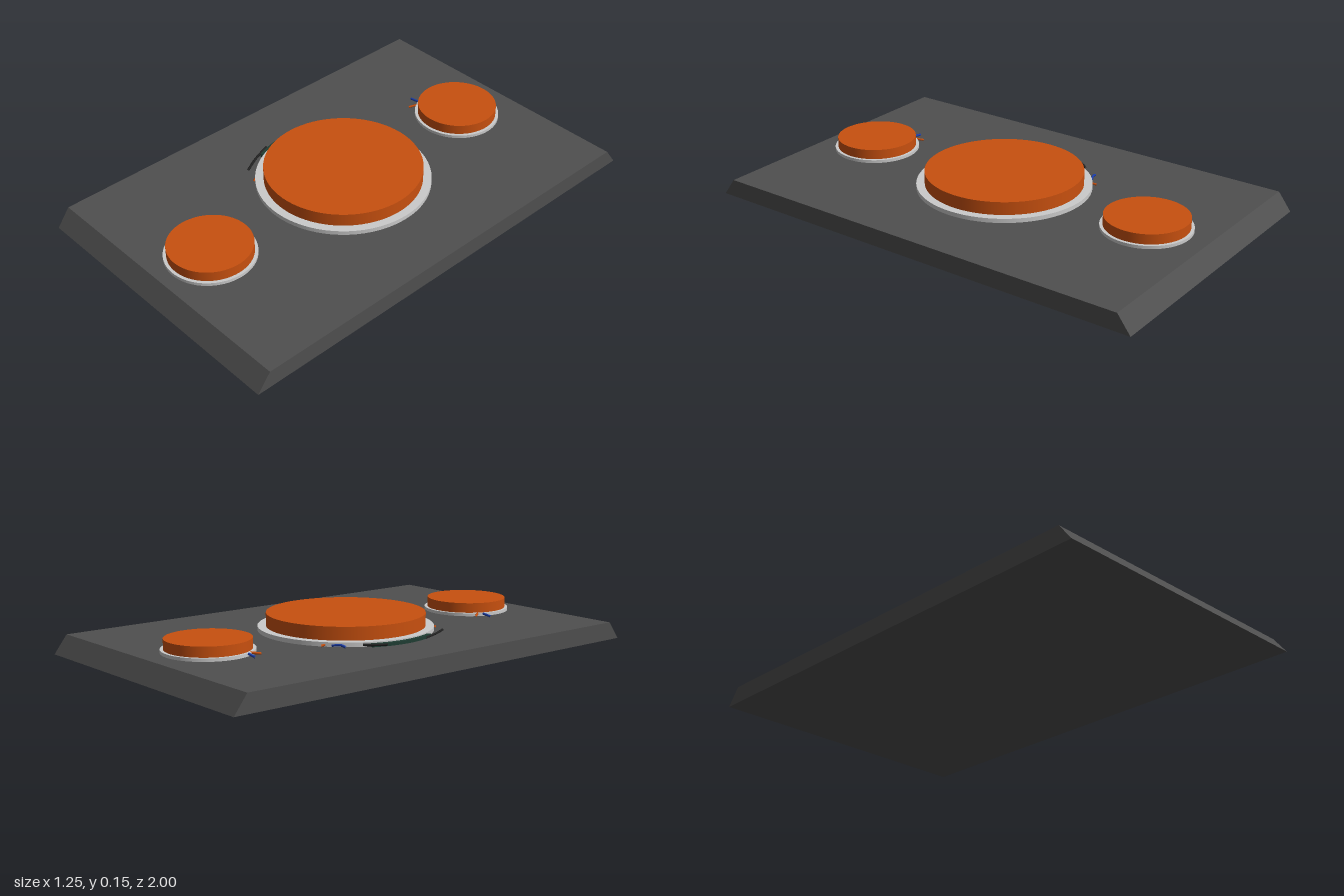
import * as THREE from 'three';

const paint = (color) => new THREE.MeshStandardMaterial({ color });
const GREY = paint(0xcccccc), SLATE = paint(0x4f4f4f), ORANGE = paint(0xc8500f);
const GREEN = paint(0x1f3d33), BLUE = paint(0x1c3fae), BLACK = paint(0x222222);

const TOP = 0.075; // upper face of the plate
const CX = -0.008; // shared x centre of the discs

export function createModel() {
  const model = new THREE.Group();

  function add(name, geometry, material, parent = model) {
    const mesh = new THREE.Mesh(geometry, material);
    mesh.name = name;
    parent.add(mesh);
    return mesh;
  }

  // Base plate with bevelled front and back ends
  const profile = new THREE.Shape([
    new THREE.Vector2(-1, 0), new THREE.Vector2(1, 0),
    new THREE.Vector2(0.943, TOP), new THREE.Vector2(-0.943, TOP),
  ]);
  const plate = new THREE.ExtrudeGeometry(profile, { depth: 1.25, bevelEnabled: false });
  plate.translate(0, 0, -0.625).rotateY(Math.PI / 2);
  add('basePlate', plate, SLATE);

  // Raised discs, each seated on a thin rim
  function disc(name, z, rimRadius, rimTop, radius, top) {
    const group = new THREE.Group();
    group.name = name;
    group.position.set(CX, 0, z);
    model.add(group);
    const rim = new THREE.CylinderGeometry(rimRadius, rimRadius, rimTop - TOP, 72);
    add('rim', rim, GREY, group).position.y = (rimTop + TOP) / 2;
    const pad = new THREE.CylinderGeometry(radius, radius, top - rimTop, 72);
    add('pad', pad, ORANGE, group).position.y = (top + rimTop) / 2;
  }
  disc('centreDisc', 0.002, 0.365, 0.093, 0.33, 0.148);
  disc('backDisc', -0.682, 0.184, 0.088, 0.171, 0.13);
  disc('frontDisc', 0.702, 0.184, 0.088, 0.171, 0.13);

  // Curved strip hugging the centre disc on its right side
  const strip = new THREE.Shape();
  strip.absarc(CX, 0, 0.382, Math.PI - 0.42, Math.PI + 0.42, false);
  strip.absarc(CX, 0, 0.35, Math.PI + 0.42, Math.PI - 0.42, true);
  const stripGeometry = new THREE.ExtrudeGeometry(strip, { depth: 0.013, bevelEnabled: false, curveSegments: 10 });
  stripGeometry.rotateX(-Math.PI / 2);
  add('circuitStrip', stripGeometry, GREEN).position.y = TOP;

  // Short leads lying on the plate: name, material, path as [x, y, z]
  const leads = [
    ['stripLeadFront', BLACK, [[-0.385, 0.083, 0.1], [-0.35, 0.083, 0.19], [-0.31, 0.083, 0.265]]],
    ['stripLeadBack', BLACK, [[-0.382, 0.083, -0.1], [-0.365, 0.085, -0.15], [-0.335, 0.085, -0.185]]],
    ['centreBlueLead', BLUE, [[-0.31, 0.08, -0.25], [-0.285, 0.085, -0.255], [-0.25, 0.08, -0.27]]],
    ['centreOrangeLead', ORANGE, [[-0.23, 0.08, -0.31], [-0.225, 0.082, -0.285]]],
    ['centreFrontLead', ORANGE, [[-0.25, 0.08, 0.275], [-0.235, 0.082, 0.295]]],
  ];
  for (const [side, z, s] of [['back', -0.682, 1], ['front', 0.702, -1]]) {
    leads.push([side + 'BlueLead', BLUE, [[-0.225, 0.079, z + s * 0.065], [-0.18, 0.085, z + s * 0.065]]]);
    leads.push([side + 'OrangeLead', ORANGE, [[-0.185, 0.079, z + s * 0.12], [-0.165, 0.085, z + s * 0.085]]]);
  }
  for (const [name, material, points] of leads) {
    const path = new THREE.CatmullRomCurve3(points.map((p) => new THREE.Vector3(...p)));
    add(name, new THREE.TubeGeometry(path, 8, 0.005, 6), material);
  }

  return model;
}
